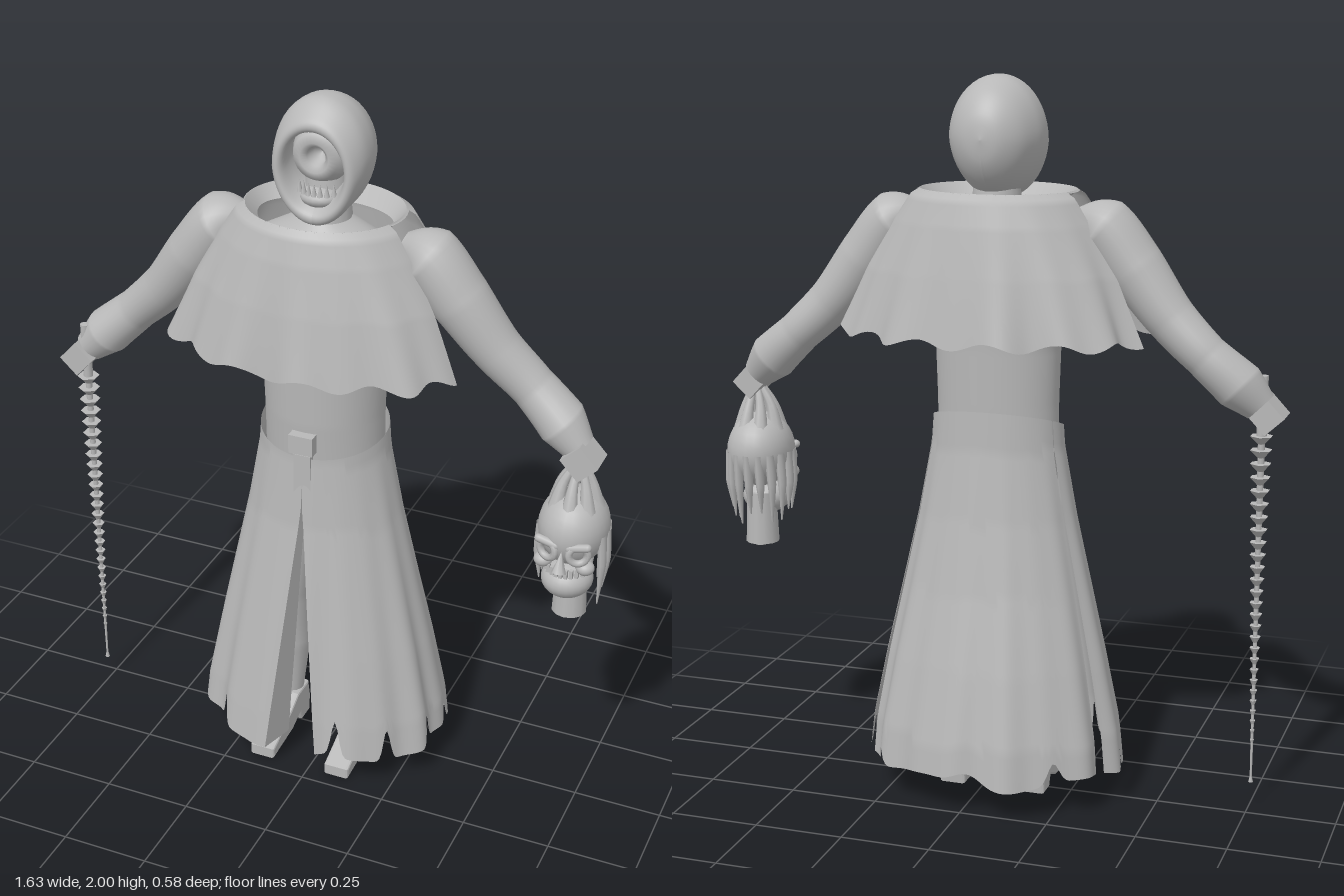
import * as THREE from 'three';
import { ParametricGeometry } from 'three/addons/geometries/ParametricGeometry.js';

const CX = -0.03; // body centre line
const V = (x, y, z = 0) => new THREE.Vector3(x, y, z);
const rad = THREE.MathUtils.degToRad;

// Smooth interpolation in a table whose first column is the key
function lut(rows, t) {
  const n = rows.length - 1;
  let i = 0;
  while (i < n - 1 && t > rows[i + 1][0]) i++;
  const k = THREE.MathUtils.clamp((t - rows[i][0]) / (rows[i + 1][0] - rows[i][0]), 0, 1);
  return rows[i].map((v, j) => v + (rows[i + 1][j] - v) * k);
}

export function createModel() {
  const root = new THREE.Group();
  const grey = new THREE.MeshStandardMaterial({ color: 0xb8b8b8, side: THREE.DoubleSide });
  grey.name = 'stone grey';

  function add(name, geo, x = 0, y = 0, z = 0, parent = root) {
    const m = new THREE.Mesh(geo, grey);
    m.name = name;
    m.position.set(x, y, z);
    parent.add(m);
    return m;
  }
  // Open sheet: f(u, v) gives a point
  const sheet = (f, nu, nv) =>
    new ParametricGeometry((u, v, p) => p.copy(f(1 - u, v)), nu, nv);
  // Point on an oval with separate front and back depth
  const oval = (a, y, rx, rf, rb, k = 1) =>
    V(CX + rx * k * Math.sin(a), y, Math.cos(a) * k * (Math.cos(a) > 0 ? rf : rb));
  // Round limb along a curve lying roughly in the xy plane
  function limb(pts, radii, depth = 1, n = 16, m = 24) {
    const c = new THREE.CatmullRomCurve3(pts);
    const rows = radii.map((r, i) => [i / (radii.length - 1), r]);
    return new ParametricGeometry((u, v, p) => {
      const a = -u * Math.PI * 2, r = lut(rows, v)[1];
      const side = c.getTangent(v).cross(V(0, 0, 1)).normalize();
      p.copy(c.getPoint(v)).addScaledVector(side, r * Math.cos(a));
      p.z += r * depth * Math.sin(a);
    }, n, m);
  }

  // Torso
  const torso = [[0, 1.0, 0.17, 0.14, 0.11], [0.2, 1.12, 0.17, 0.15, 0.115], [0.45, 1.28, 0.175, 0.155, 0.12],
    [0.7, 1.45, 0.2, 0.15, 0.13], [0.9, 1.6, 0.2, 0.13, 0.12], [1, 1.67, 0.07, 0.07, 0.06]];
  add('torso', sheet((u, v) => {
    const [, y, rx, rf, rb] = lut(torso, 1 - v);
    return oval(u * Math.PI * 2, y, rx, rf, rb);
  }, 40, 24));
  add('neck', new THREE.CylinderGeometry(0.055, 0.075, 0.2, 20), CX, 1.69, -0.01);

  // Skirt of three panels with a front opening, side slits and a torn hem
  const skirtRows = [[0.05, 0.37, 0.285, 0.295], [0.2, 0.355, 0.265, 0.28], [0.4, 0.315, 0.235, 0.24],
    [0.6, 0.27, 0.205, 0.195], [0.8, 0.225, 0.175, 0.16], [1, 0.187, 0.16, 0.135], [1.15, 0.177, 0.16, 0.13]];
  const tears = [[22, 0.11, 2.5], [48, 0.1, 3], [75, 0.09, 3], [97, 0.06, 3], [130, 0.05, 4], [-40, 0.09, 3],
    [-65, 0.05, 4], [-92, 0.08, 3], [-140, 0.06, 4], [180, 0.03, 8]];
  const hem = (a) => tears.reduce((y, [d, h, w]) => {
    let e = (a * 180 / Math.PI - d) % 360;
    if (e > 180) e -= 360;
    if (e < -180) e += 360;
    return y + h * Math.exp(-((e / w) ** 2));
  }, 0.1 + 0.012 * Math.sin(a * 5));
  const slit = (y) => Math.max(0, 0.87 - y) * 0.1; // half width of front opening
  function skirtPoint(a, v) {
    const top = 1.065 - 0.045 * Math.cos(a);
    const y = top + (hem(a) - top) * v;
    const [, rx, rf, rb] = lut(skirtRows, y);
    return oval(a, y, rx, rf, rb, 1 + 0.022 * v * Math.sin(a * 11 + 1) + 0.015 * v * Math.sin(a * 17));
  }
  const frontStart = (v) => {
    const y = 1.02 - 0.92 * v;
    return Math.asin(slit(y) / lut(skirtRows, y)[1]) + 0.005;
  };
  for (const s of [1, -1]) {
    const label = s > 0 ? 'left' : 'right';
    add(label + 'FrontSkirt', sheet((u, v) => {
      const a0 = frontStart(v), a1 = rad(110 - 2 * v);
      return skirtPoint(s * (a0 + (a1 - a0) * u), v);
    }, 80, 32));
    // Turned-in edge of the front opening
    add(label + 'SkirtFacing', sheet((u, v) => {
      const p = skirtPoint(s * frontStart(v), v);
      p.x -= s * 0.03 * u * v;
      p.z -= 0.1 * u * v;
      return p;
    }, 4, 24));
  }
  add('backSkirt', sheet((u, v) => {
    const a0 = rad(111 + 3 * v);
    return skirtPoint(a0 + (Math.PI * 2 - 2 * a0) * u, v);
  }, 80, 32));

  // Buckle and hanging strap
  add('buckle', new THREE.BoxGeometry(0.07, 0.055, 0.03), CX, 1.065, 0.16);
  add('hangingStrap', new THREE.BoxGeometry(0.05, 0.17, 0.02), CX, 0.945, 0.155);

  // Cape: collar plus front and back panels, open at the sides for the arms
  const cape = [[0, 1.665, 0.185, 0.145, 0.11], [0.1, 1.7, 0.215, 0.185, 0.17], [0.18, 1.685, 0.24, 0.2, 0.19],
    [0.35, 1.61, 0.29, 0.222, 0.21], [0.65, 1.48, 0.365, 0.25, 0.235], [1, 1.31, 0.44, 0.28, 0.265]];
  function capePoint(a, t) {
    const [, y, rx, rf, rb] = lut(cape, t);
    const fold = 0.03 * Math.sin(a * 10) + 0.02 * Math.sin(a * 17 + 1);
    return oval(a, y + t * t * t * 0.012 * Math.sin(a * 14), rx, rf, rb, 1 + fold * t * t);
  }
  add('capeCollar', sheet((u, v) => capePoint(u * Math.PI * 2, v * 0.12), 56, 6));
  add('capeFront', sheet((u, v) => capePoint(rad(-70 + 140 * u), 0.1 + 0.9 * v), 72, 24));
  add('capeBack', sheet((u, v) => capePoint(rad(107 + 146 * u), 0.1 + 0.9 * v), 72, 24));

  // Hood: turned shell opening to the front with a rolled rim
  const hoodProfile = [[0, -0.127], [0.4, -0.115], [0.75, -0.075], [0.95, -0.015], [1, 0.03], [0.97, 0.075],
    [0.87, 0.112], [0.74, 0.12], [0.64, 0.1], [0.6, 0.04], [0.5, 0]].map(([r, z]) => new THREE.Vector2(r, z));
  const hoodGeo = new THREE.LatheGeometry(new THREE.SplineCurve(hoodProfile).getPoints(48), 48);
  hoodGeo.rotateX(Math.PI / 2);
  hoodGeo.scale(0.13, 0.163, 1);
  const hp = hoodGeo.attributes.position;
  for (let i = 0; i < hp.count; i++) {
    const y = hp.getY(i), front = THREE.MathUtils.smoothstep(hp.getZ(i), 0.05, 0.12);
    hp.setX(i, hp.getX(i) * (y < 0 ? 1 + y * 0.6 : 1));
    hp.setY(i, y - 0.025 * front);
  }
  hoodGeo.computeVertexNormals();
  add('hood', hoodGeo, CX, 1.838, -0.028);

  // Hollow face with a ring brow and bared jaw
  const face = new THREE.LatheGeometry([[0.001, -0.03], [0.02, -0.02], [0.026, 0.015], [0.04, 0.03], [0.062, 0.02],
    [0.08, -0.02]].map(([r, z]) => new THREE.Vector2(r, z)), 28);
  face.rotateX(Math.PI / 2);
  add('hollowFace', face, CX, 1.85, 0.045);
  add('chin', new THREE.SphereGeometry(0.055, 20, 12).scale(1, 0.5, 0.9), CX, 1.735, 0.035);
  for (let i = -3; i <= 3; i++)
    add('faceTooth', new THREE.ConeGeometry(0.008, 0.035, 6), CX + i * 0.016, 1.765, 0.075 - i * i * 0.002);

  // Arms, hands, legs and shoes
  const shoe = new THREE.Shape([[-0.05, 0], [-0.005, 0], [0.01, 0.035], [0.07, 0.01], [0.2, 0], [0.2, 0.022],
    [0.14, 0.045], [0.07, 0.075], [0.025, 0.1], [-0.045, 0.1], [-0.055, 0.05]].map(([x, y]) => new THREE.Vector2(x, y)));
  const shoeGeo = new THREE.ExtrudeGeometry(shoe, { depth: 0.06, bevelSize: 0.006, bevelThickness: 0.008, bevelSegments: 2 });
  shoeGeo.translate(0, 0.006, -0.03);
  shoeGeo.rotateY(-Math.PI / 2);
  for (const s of [1, -1]) {
    const label = s > 0 ? 'left' : 'right';
    const at = (dx, y, z) => V(CX + s * dx, y, z);
    add(label + 'Sleeve', limb([at(0.22, 1.63, 0), at(0.29, 1.605, 0.005), at(0.38, 1.5, 0.005), at(0.48, 1.375, -0.005),
      at(0.58, 1.28, -0.015), at(0.67, 1.2, 0), at(0.725, 1.145, 0.015)],
    [0.03, 0.083, 0.08, 0.067, 0.06, 0.068, 0.045], 1.05, 24, 48));
    const hand = add(label + 'Hand', new THREE.BoxGeometry(0.07, 0.075, 0.09), CX + s * 0.742, 1.125, 0.03);
    hand.rotation.z = s * 0.75;
    add(label + 'Leg', limb([at(0.08, 0.98, 0), at(0.1, 0.7, 0.01), at(0.11, 0.48, 0.01), at(0.115, 0.3, -0.01),
      at(0.12, 0.09, -0.015)], [0.085, 0.075, 0.055, 0.055, 0.033], 1, 16, 24));
    add(label + 'Shoe', shoeGeo, CX + s * 0.118, 0, 0);
  }

  // Segmented whip: stacked barbed links tapering to a point
  const whip = new THREE.Group();
  whip.name = 'whip';
  whip.position.set(-0.755, 0, 0.04);
  root.add(whip);
  add('whipHandle', new THREE.CylinderGeometry(0.014, 0.014, 0.17, 10), 0, 1.14, 0, whip);
  add('whipCord', new THREE.CylinderGeometry(0.01, 0.003, 1.0, 8), 0, 0.58, 0, whip);
  for (let i = 0, y = 1.05; i < 27; i++) {
    const r = 0.032 * (1 - i / 32), h = 0.038 - i * 0.0004;
    add('whipBarb', new THREE.CylinderGeometry(r, r * 0.3, h * 0.6, 6), 0, y, 0, whip);
    y -= h;
  }
  add('whipTip', new THREE.ConeGeometry(0.007, 0.03, 6), 0, 0.09, 0, whip);

  // Severed head hanging from the left hand
  const head = new THREE.Group();
  head.name = 'severedHead';
  head.position.set(0.7, 0, 0.03);
  root.add(head);
  const ball = (name, r, sx, sy, sz, x, y, z) =>
    add(name, new THREE.SphereGeometry(r, 24, 16).scale(sx, sy, sz), x, y, z, head);
  ball('cranium', 0.1, 0.95, 1.08, 1.1, 0, 0.92, 0);
  ball('jaw', 0.07, 1, 0.75, 1.05, 0, 0.775, 0.035);
  add('severedNeck', new THREE.CylinderGeometry(0.042, 0.048, 0.15, 12), 0, 0.72, -0.005, head);
  add('neckBone', new THREE.CylinderGeometry(0.012, 0.012, 0.05, 8), 0.01, 0.655, 0, head);
  const nose = add('nose', new THREE.ConeGeometry(0.02, 0.06, 8), 0, 0.865, 0.112, head);
  nose.rotation.x = -0.25;
  for (const s of [1, -1]) {
    const socket = add('eyeSocket', new THREE.TorusGeometry(0.025, 0.01, 8, 18), s * 0.042, 0.885, 0.094, head);
    socket.rotation.y = s * 0.4;
    const brow = add('brow', new THREE.CapsuleGeometry(0.012, 0.05, 4, 8), s * 0.042, 0.91, 0.098, head);
    brow.rotation.z = Math.PI / 2 + s * 0.25;
    ball('cheek', 0.025, 1, 0.8, 1, s * 0.058, 0.84, 0.075);
  }
  for (let i = -4; i <= 4; i++)
    add('tooth', new THREE.BoxGeometry(0.01, 0.025, 0.012), i * 0.013, 0.822, 0.1 - i * i * 0.0018, head);
  // Hair gathered into the fist
  for (let i = 0; i < 7; i++) {
    const a = i / 7 * Math.PI * 2, x = Math.sin(a), z = Math.cos(a);
    add('heldHair', limb([V(x * 0.055, 0.98, z * 0.06), V(x * 0.04, 1.05, z * 0.04), V(0.005 + x * 0.01, 1.11, z * 0.015)],
      [0.024, 0.014, 0.008], 1, 8, 8), 0, 0, 0, head);
  }
  // Loose locks around the sides and back
  for (let i = 0; i < 11; i++) {
    const a = rad(75 + i * 21), x = Math.sin(a) * 0.09, z = Math.cos(a) * 0.095;
    const low = 0.7 + 0.05 * Math.abs(Math.sin(i * 2.3));
    add('looseHair', limb([V(x * 0.95, 0.92, z), V(x * 1.02, 0.83, z * 0.95), V(x * 0.95, low, z * 0.85)],
      [0.014, 0.012, 0.002], 1.3, 8, 8), 0, 0, 0, head);
  }

  return root;
}
